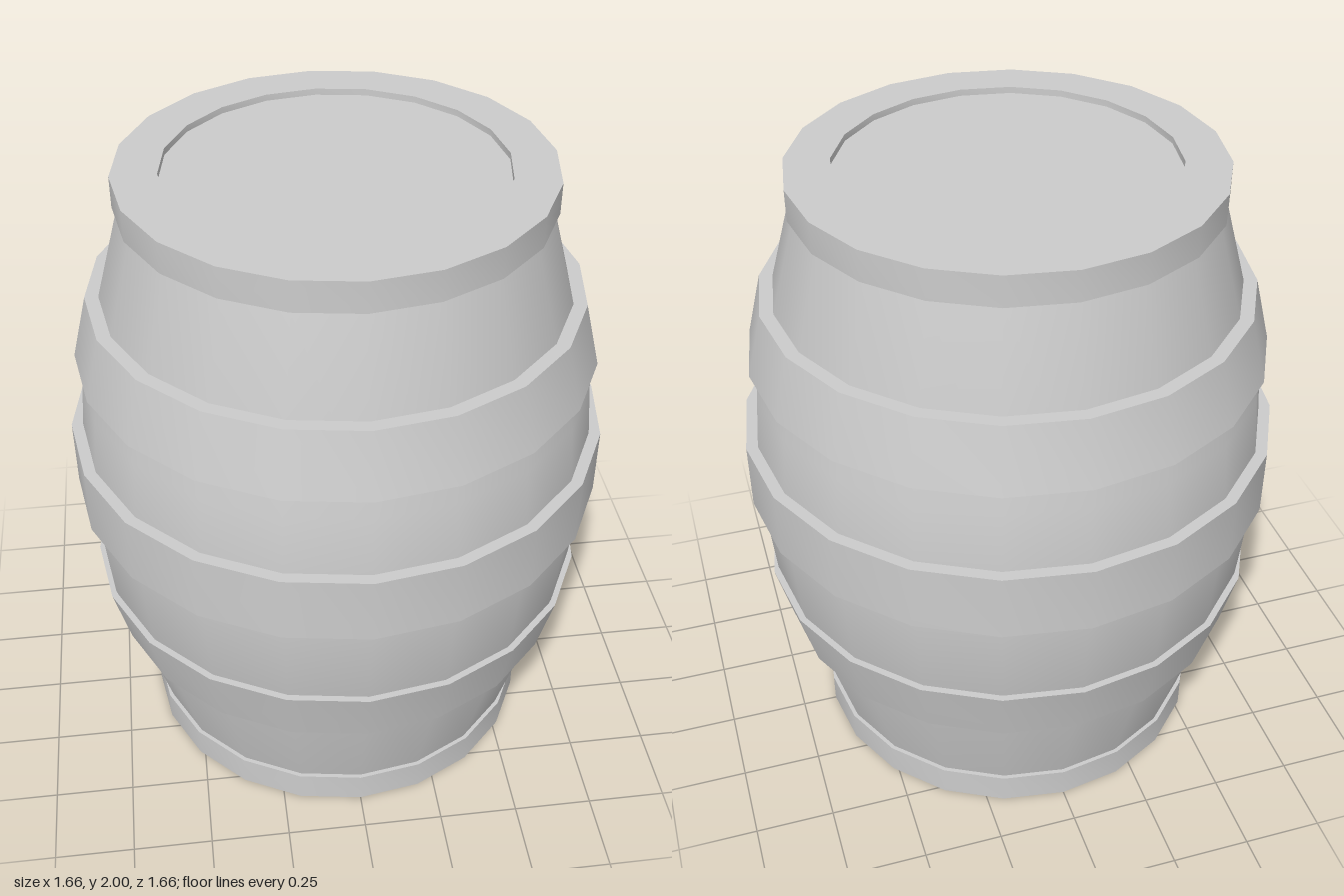
import * as THREE from 'three';
import { toCreasedNormals } from 'three/addons/utils/BufferGeometryUtils.js';

const SIDES = 20;

export function createModel() {
  const barrel = new THREE.Group();
  barrel.name = 'barrel';
  const material = new THREE.MeshStandardMaterial({ color: 0xcccccc });

  // Turn a [radius, height] profile, smooth around but sharp at its corners
  function turned(name, profile) {
    const points = profile.map(([r, y]) => new THREE.Vector2(r, y));
    const geometry = toCreasedNormals(new THREE.LatheGeometry(points, SIDES), 0.6);
    const mesh = new THREE.Mesh(geometry, material);
    mesh.name = name;
    barrel.add(mesh);
  }

  // Closed ring hoop, outer radius r0 at y0 to r1 at y1
  function hoop(name, y0, r0, y1, r1) {
    const t = 0.07;
    turned(name, [[r0 - t, y0], [r0, y0], [r1, y1], [r1 - t, y1]]);
  }

  // Bulging wooden body
  turned('body', [
    [0.62, 0.08], [0.625, 0.1], [0.78, 0.66], [0.81, 1],
    [0.78, 1.34], [0.625, 1.9], [0.62, 1.92],
  ]);

  // Flat base with its rim
  turned('bottomRim', [[0, 0], [0.638, 0], [0.638, 0.1], [0.6, 0.1]]);

  // Top rim around a slightly sunken lid
  turned('topRim', [[0.6, 1.905], [0.638, 1.905], [0.638, 2], [0.503, 2], [0.503, 1.98]]);
  turned('lid', [[0.503, 1.98], [0, 1.98]]);

  // Hoops
  hoop('lowerHoop', 0.44, 0.745, 0.64, 0.795);
  hoop('middleHoop', 0.94, 0.832, 1.155, 0.832);
  hoop('upperHoop', 1.415, 0.795, 1.615, 0.745);

  return barrel;
}
